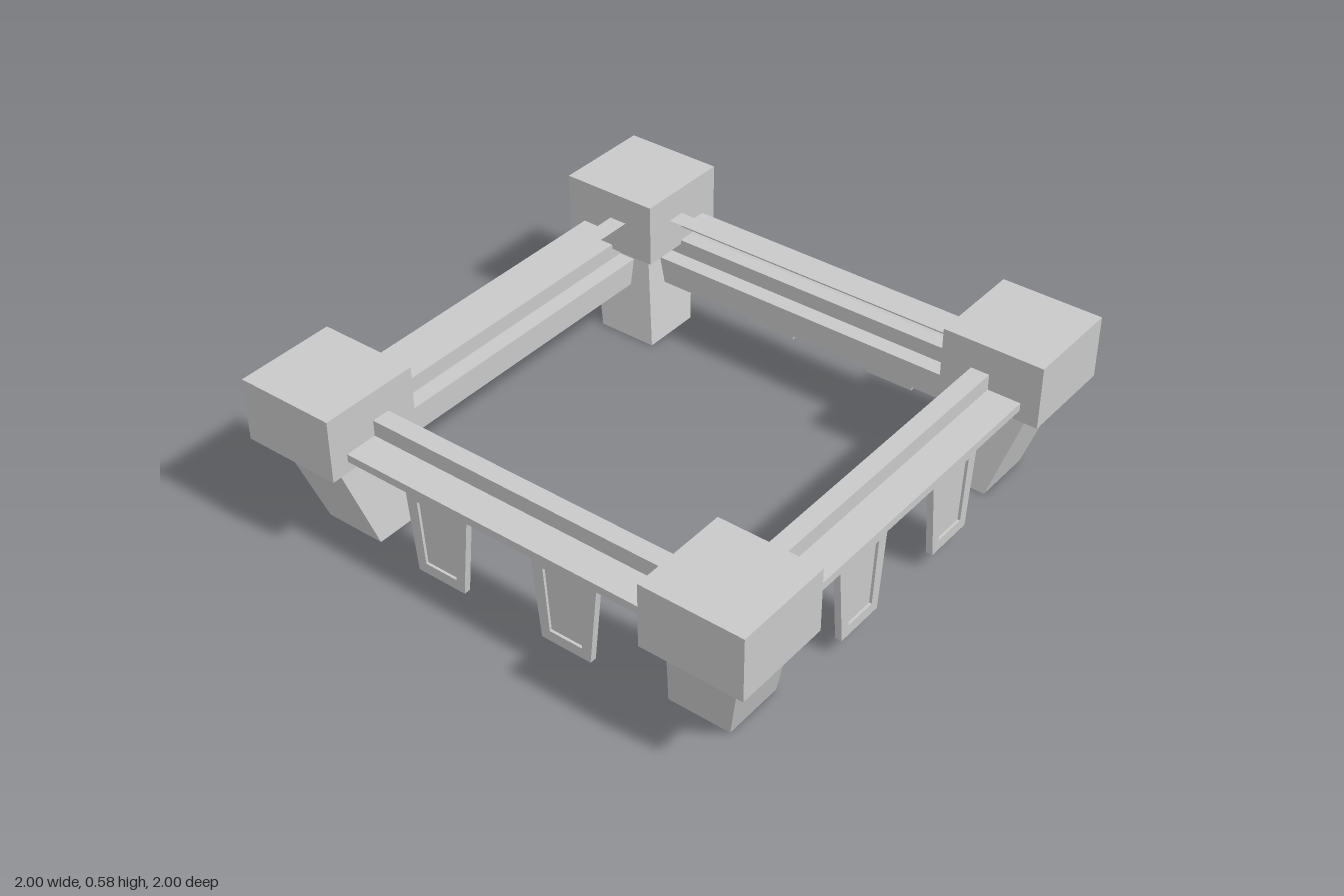
import * as THREE from 'three';

const grey = new THREE.MeshStandardMaterial({ color: 0xc8c8c8, flatShading: true, side: THREE.DoubleSide });
grey.name = 'plain grey';

function mesh(geometry, name) {
  const m = new THREE.Mesh(geometry, grey);
  m.name = name;
  return m;
}

// Sweeps an open [z, y] profile along x as folded sheet
function sweep(profile, half) {
  const pos = [];
  for (let i = 0; i < profile.length - 1; i++) {
    const [az, ay] = profile[i];
    const [bz, by] = profile[i + 1];
    pos.push(-half, ay, az, -half, by, bz, half, by, bz);
    pos.push(-half, ay, az, half, by, bz, half, ay, az);
  }
  const g = new THREE.BufferGeometry();
  g.setAttribute('position', new THREE.Float32BufferAttribute(pos, 3));
  g.computeVertexNormals();
  return g;
}

// Four corners of a trapezoid that is wider at the top
function trapezoid(topHalf, bottomHalf, top, bottom) {
  return [[-bottomHalf, bottom], [bottomHalf, bottom], [topHalf, top], [-topHalf, top]]
    .map(([x, y]) => new THREE.Vector2(x, y));
}

function extrude(shape, depth, z) {
  return new THREE.ExtrudeGeometry(shape, { depth, bevelEnabled: false }).translate(0, 0, z);
}

// Hanging plate: a frame around a slightly recessed panel
function makePlate() {
  const plate = new THREE.Group();
  plate.name = 'hangingPlate';
  const inner = trapezoid(0.083, 0.065, 0.345, 0.1);
  const frame = new THREE.Shape(trapezoid(0.131, 0.098, 0.385, 0.06));
  frame.holes.push(new THREE.Path(inner));
  plate.add(mesh(extrude(frame, 0.025, 0.885), 'plateFrame'));
  plate.add(mesh(extrude(new THREE.Shape(inner), 0.015, 0.885), 'platePanel'));
  return plate;
}

// One side of the frame, built on +z
function makeSide() {
  const side = new THREE.Group();
  side.name = 'side';
  // stepped upper rail with a projecting ledge, open towards the inside
  const upper = [[0.735, 0.475], [0.805, 0.475], [0.805, 0.415], [0.93, 0.415],
    [0.93, 0.385], [0.86, 0.36], [0.8, 0.36]];
  side.add(mesh(sweep(upper, 0.62), 'upperRail'));
  // web below the ledge, stepping in to the lower flange; it runs into the legs
  const lower = [[0.8, 0.36], [0.8, 0.3], [0.765, 0.3], [0.765, 0.2],
    [0.735, 0.2], [0.735, 0.3], [0.765, 0.3]];
  side.add(mesh(sweep(lower, 0.69), 'lowerRail'));
  for (const s of [-1, 1]) {
    const plate = makePlate();
    plate.position.x = 0.26 * s;
    side.add(plate);
  }
  return side;
}

// Corner block on a leg that leans inward, built at +x +z
function makeCorner() {
  const corner = new THREE.Group();
  corner.name = 'corner';
  const block = mesh(new THREE.BoxGeometry(0.38, 0.238, 0.38), 'cornerBlock');
  block.position.set(0.81, 0.462, 0.81);
  corner.add(block);

  const leg = new THREE.BoxGeometry(1, 1, 1);
  const p = leg.attributes.position;
  for (let i = 0; i < p.count; i++) {
    const up = p.getY(i) > 0;
    const place = (v) => (up ? (v > 0 ? 0.94 : 0.675) : (v > 0 ? 0.84 : 0.605));
    p.setXYZ(i, place(p.getX(i)), up ? 0.345 : 0, place(p.getZ(i)));
  }
  leg.computeVertexNormals();
  corner.add(mesh(leg, 'leg'));
  return corner;
}

export function createModel() {
  const model = new THREE.Group();
  model.name = 'squareFrame';
  for (let i = 0; i < 4; i++) {
    for (const part of [makeSide(), makeCorner()]) {
      part.rotation.y = (i * Math.PI) / 2;
      model.add(part);
    }
  }
  return model;
}
